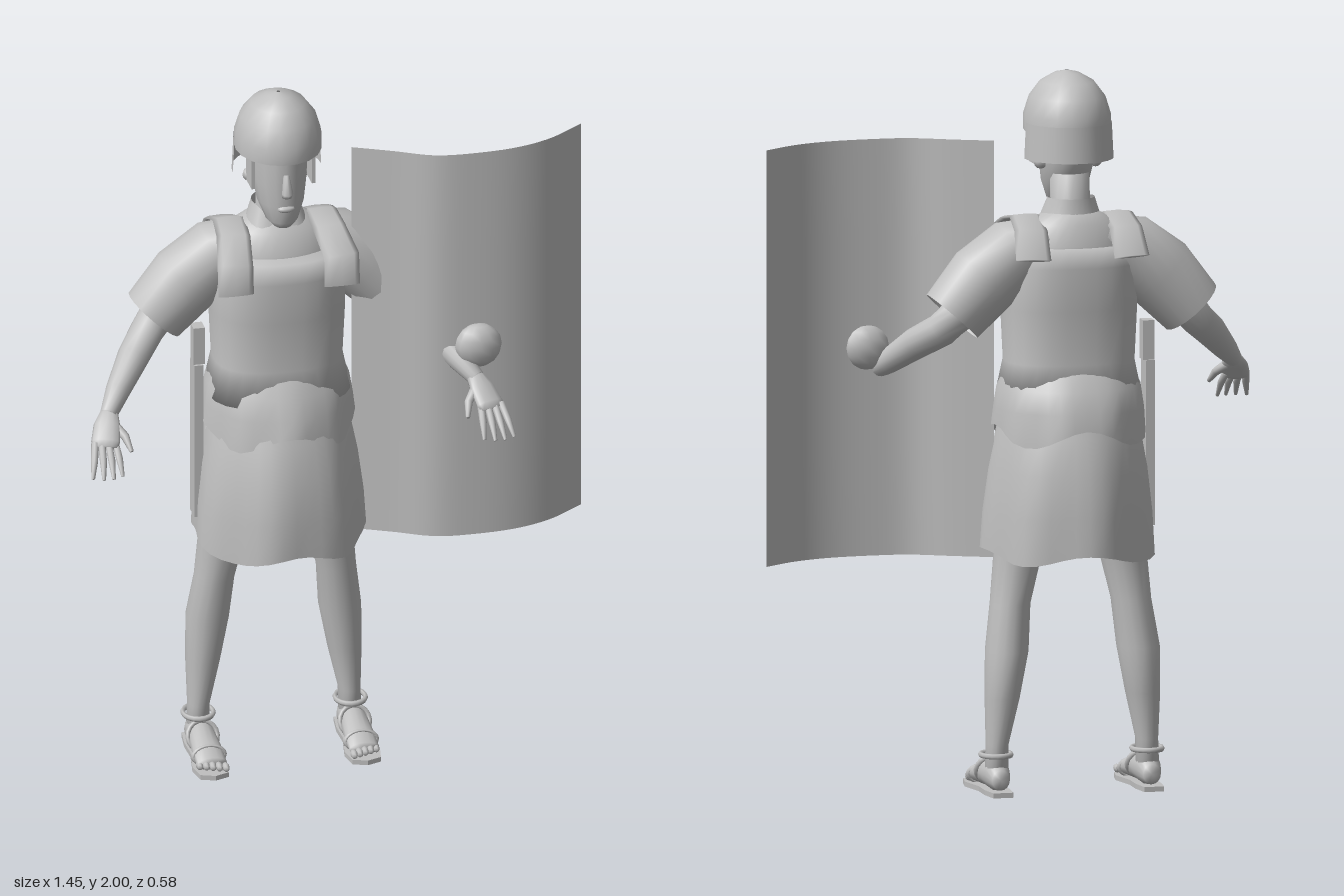
import * as THREE from 'three';

const grey = new THREE.MeshStandardMaterial({ color: 0xbfbfbf, side: THREE.DoubleSide });
grey.name = 'plain grey';
const AXIS = { x: new THREE.Vector3(1, 0, 0), y: new THREE.Vector3(0, 1, 0), z: new THREE.Vector3(0, 0, 1) };

// Skin through elliptical rings [x, y, z, a, b]; b lies along ref, a across it.
function sweep(pts, { ref = AXIS.z, dir = null, seg = 16, caps = true, wave = null } = {}) {
  const pos = [], idx = [], n = pts.length;
  const c = pts.map(p => new THREE.Vector3(p[0], p[1], p[2]));
  c.forEach((p, i) => {
    const t = dir || c[Math.min(i + 1, n - 1)].clone().sub(c[Math.max(i - 1, 0)]).normalize();
    const v = ref.clone().addScaledVector(t, -ref.dot(t)).normalize();
    const u = v.clone().cross(t);
    for (let j = 0; j < seg; j++) {
      const g = j / seg * Math.PI * 2;
      const [k, lift] = wave ? wave(g, i) : [1, 0];
      const q = p.clone().addScaledVector(u, Math.cos(g) * pts[i][3] * k)
        .addScaledVector(v, Math.sin(g) * (pts[i][4] ?? pts[i][3]) * k);
      pos.push(q.x, q.y + lift, q.z);
      if (i < n - 1) {
        const a = i * seg + j, b = i * seg + (j + 1) % seg;
        idx.push(a, b, b + seg, a, b + seg, a + seg);
      }
    }
  });
  if (caps) {
    pos.push(...c[0].toArray(), ...c[n - 1].toArray());
    const e = n * seg, last = (n - 1) * seg;
    for (let j = 0; j < seg; j++) {
      const k = (j + 1) % seg;
      idx.push(e, k, j, e + 1, last + j, last + k);
    }
  }
  const geo = new THREE.BufferGeometry();
  geo.setAttribute('position', new THREE.Float32BufferAttribute(pos, 3));
  geo.setIndex(idx);
  geo.computeVertexNormals();
  return geo;
}

function add(parent, name, geo, x = 0, y = 0, z = 0) {
  const m = new THREE.Mesh(geo, grey);
  m.name = name;
  m.position.set(x, y, z);
  parent.add(m);
  return m;
}

function makeHead(body) {
  const up = { dir: AXIS.y };
  add(body, 'neck', sweep([[0, 1.5, -0.09, 0.07, 0.06], [0, 1.6, -0.08, 0.055, 0.055], [0, 1.72, -0.06, 0.055, 0.06]], up));
  add(body, 'face', sweep([
    [0, 1.62, 0.015, 0.025, 0.03], [0, 1.64, 0.005, 0.045, 0.055], [0, 1.69, -0.015, 0.065, 0.08],
    [0, 1.75, -0.03, 0.075, 0.095], [0, 1.82, -0.035, 0.08, 0.1], [0, 1.88, -0.04, 0.08, 0.1]], up));
  add(body, 'nose', sweep([[0, 1.79, 0.06, 0.008, 0.01], [0, 1.74, 0.078, 0.016, 0.018], [0, 1.725, 0.07, 0.014, 0.012]], { dir: AXIS.y.clone().negate(), seg: 8 }));
  add(body, 'mouth', new THREE.SphereGeometry(1, 10, 6), 0, 1.685, 0.06).scale.set(0.025, 0.01, 0.012);
  // Helmet: dome, brim, neck guard and cheek plates
  add(body, 'helmetDome', sweep([
    [0, 1.835, -0.04, 0.12, 0.138], [0, 1.88, -0.04, 0.12, 0.138], [0, 1.93, -0.04, 0.105, 0.118],
    [0, 1.97, -0.038, 0.075, 0.085], [0, 1.993, -0.035, 0.035, 0.04], [0, 2, -0.035, 0.005, 0.005]], { ...up, caps: false, seg: 18 }));
  const guard = add(body, 'neckGuard', new THREE.CylinderGeometry(1, 1.04, 0.1, 16, 1, true, Math.PI / 2, Math.PI), 0, 1.81, -0.05);
  guard.scale.set(0.12, 1, 0.13);
  for (const s of [-1, 1]) {
    add(body, 'cheekPlate', new THREE.BoxGeometry(0.01, 0.1, 0.065), s * 0.085, 1.79, -0.005);
    add(body, 'ear', new THREE.SphereGeometry(0.02, 8, 6), s * 0.078, 1.75, -0.05);
  }
}

function makeTorso(body) {
  const up = { dir: AXIS.y, seg: 28 };
  // Squarish cuirass section
  const boxy = g => [Math.pow(Math.pow(Math.abs(Math.cos(g)), 2.6) + Math.pow(Math.abs(Math.sin(g)), 2.6), -1 / 2.6), 0];
  add(body, 'cuirass', sweep([
    [0, 1.1, -0.055, 0.2, 0.16], [0, 1.2, -0.055, 0.18, 0.14], [0, 1.35, -0.055, 0.187, 0.147],
    [0, 1.47, -0.055, 0.185, 0.152], [0, 1.525, -0.055, 0.165, 0.14]], { ...up, wave: boxy }));
  add(body, 'tunicShoulders', sweep([
    [0, 1.45, -0.075, 0.17, 0.125], [0, 1.53, -0.075, 0.165, 0.115], [0, 1.585, -0.08, 0.13, 0.085], [0, 1.62, -0.085, 0.065, 0.06]], up));
  add(body, 'collar', sweep([[0, 1.55, -0.065, 0.105, 0.1], [0, 1.6, -0.07, 0.085, 0.08], [0, 1.655, -0.08, 0.065, 0.065]],
    { ...up, caps: false, wave: g => [1, -0.05 * Math.pow(Math.max(0, Math.sin(g)), 4)] }));
  // Flared hip apron and pleated skirt
  add(body, 'hipApron', sweep([
    [0, 1.18, -0.055, 0.178, 0.142], [0, 1.13, -0.06, 0.2, 0.175], [0, 1.07, -0.06, 0.208, 0.198], [0, 1.0, -0.058, 0.212, 0.208]],
    { dir: AXIS.y.clone().negate(), seg: 36, caps: false, wave: (g, i) => [1 + 0.008 * i * Math.sin(g * 9), i === 3 ? 0.025 * Math.cos(g * 4) : 0] }));
  add(body, 'skirt', sweep([
    [0, 1.08, -0.05, 0.18, 0.17], [0, 1.0, -0.05, 0.2, 0.2], [0, 0.9, -0.047, 0.218, 0.228], [0, 0.78, -0.045, 0.232, 0.238], [0, 0.665, -0.045, 0.237, 0.24]],
    { dir: AXIS.y.clone().negate(), seg: 40, caps: false, wave: (g, i) => [1 + 0.009 * i * Math.sin(g * 7 + 1), i === 4 ? 0.015 * Math.cos(g * 4) : 0] }));
  // Sword hanging at the right hip
  const sword = new THREE.Group();
  sword.name = 'sword';
  body.add(sword);
  add(sword, 'swordGrip', new THREE.BoxGeometry(0.032, 0.11, 0.04), -0.222, 1.245, -0.06);
  add(sword, 'scabbard', new THREE.BoxGeometry(0.025, 0.46, 0.055), -0.225, 0.96, -0.06);
}

function makeArm(body, s) {
  const side = new THREE.Group();
  side.name = s < 0 ? 'rightArm' : 'leftArm';
  body.add(side);
  add(side, 'shoulderStrap', sweep([
    [s * 0.15, 1.455, 0.098, 0.007, 0.05], [s * 0.15, 1.54, 0.088, 0.007, 0.05], [s * 0.135, 1.59, 0.0, 0.007, 0.047],
    [s * 0.13, 1.605, -0.08, 0.007, 0.045], [s * 0.135, 1.575, -0.16, 0.007, 0.047], [s * 0.14, 1.5, -0.208, 0.007, 0.05]],
    { ref: AXIS.x, seg: 8 }));
  add(side, 'sleeve', sweep([
    [s * 0.08, 1.545, -0.085, 0.06, 0.08], [s * 0.16, 1.51, -0.085, 0.095, 0.092], [s * 0.25, 1.435, -0.085, 0.105, 0.094],
    [s * 0.34, 1.335, -0.085, 0.092, 0.09]], { caps: false, seg: 18 }));
  add(side, 'arm', sweep([
    [s * 0.22, 1.46, -0.085, 0.055], [s * 0.32, 1.345, -0.09, 0.052], [s * 0.365, 1.295, -0.065, 0.047],
    [s * 0.42, 1.25, 0.0, 0.044], [s * 0.48, 1.19, 0.075, 0.034], [s * 0.52, 1.15, 0.135, 0.024]], { ref: AXIS.y, seg: 14 }));
  add(side, 'palm', sweep([
    [s * 0.515, 1.155, 0.125, 0.024, 0.02], [s * 0.53, 1.13, 0.16, 0.037, 0.018], [s * 0.543, 1.1, 0.2, 0.04, 0.016], [s * 0.547, 1.088, 0.213, 0.035, 0.012]],
    { ref: AXIS.y, seg: 12 }));
  // Four spread fingers and a thumb
  for (let i = 0; i < 4; i++) {
    const k = i - 1.5, reach = i === 0 || i === 3 ? 0.85 : 1;
    const x = 0.545 + k * 0.019, x2 = x + k * 0.009 + 0.008;
    add(side, 'finger', sweep([
      [s * x, 1.098, 0.2, 0.01], [s * (x + x2) / 2, 1.065, 0.2 + 0.05 * reach, 0.01], [s * x2, 1.025, 0.2 + 0.085 * reach, 0.005]], { ref: AXIS.y, seg: 8 }));
  }
  add(side, 'thumb', sweep([[s * 0.515, 1.135, 0.155, 0.014], [s * 0.485, 1.105, 0.19, 0.012], [s * 0.475, 1.075, 0.225, 0.006]], { ref: AXIS.y, seg: 8 }));
}

function makeLeg(body, s) {
  const side = new THREE.Group();
  side.name = s < 0 ? 'rightLeg' : 'leftLeg';
  body.add(side);
  add(side, 'leg', sweep([
    [s * 0.215, 0.06, -0.09, 0.032, 0.04], [s * 0.213, 0.14, -0.09, 0.031, 0.04], [s * 0.2, 0.27, -0.095, 0.048, 0.056], [s * 0.187, 0.4, -0.095, 0.06, 0.066],
    [s * 0.172, 0.53, -0.075, 0.056, 0.062], [s * 0.15, 0.66, -0.07, 0.066, 0.075], [s * 0.125, 0.85, -0.06, 0.085, 0.095], [s * 0.11, 1.0, -0.055, 0.09, 0.1]],
    { dir: AXIS.y }));
  add(side, 'foot', sweep([
    [s * 0.215, 0.045, -0.14, 0.025, 0.028], [s * 0.215, 0.055, -0.1, 0.036, 0.044], [s * 0.215, 0.055, -0.04, 0.038, 0.04],
    [s * 0.215, 0.042, 0.03, 0.043, 0.028], [s * 0.215, 0.03, 0.085, 0.042, 0.018]], { ref: AXIS.y, dir: AXIS.z }));
  // Sandal sole with ankle and instep straps
  const outline = new THREE.Shape([[-0.028, -0.165], [0.028, -0.165], [0.036, -0.1], [0.034, -0.03], [0.05, 0.06], [0.04, 0.115],
    [0, 0.13], [-0.04, 0.115], [-0.05, 0.06], [-0.034, -0.03], [-0.036, -0.1]].map(p => new THREE.Vector2(...p)));
  const sole = new THREE.ExtrudeGeometry(outline, { depth: 0.014, bevelEnabled: false }).rotateX(Math.PI / 2);
  sole.scale(1, 1, 1);
  add(side, 'sandalSole', sole, s * 0.215, 0.014, 0);
  const ring = (name, y, z, rx, rz, tilt) => {
    const m = add(side, name, new THREE.TorusGeometry(1, 0.16, 6, 18), s * 0.215, y, z);
    m.scale.set(rx, rz, 0.05);
    m.rotation.x = tilt;
  };
  ring('ankleStrap', 0.11, -0.085, 0.042, 0.048, Math.PI / 2);
  ring('instepStrap', 0.062, -0.03, 0.042, 0.042, -0.5);
  ring('toeStrap', 0.038, 0.045, 0.044, 0.027, -0.2);
  for (let i = 0; i < 5; i++) {
    add(side, 'toe', new THREE.SphereGeometry(1, 8, 6), s * (0.181 + i * 0.017), 0.026, 0.105 - i * 0.007)
      .scale.set(0.01, 0.012, 0.021);
  }
}

function makeShield(root) {
  const shield = new THREE.Group();
  shield.name = 'shield';
  root.add(shield);
  // Tall sheet bowed along a curve seen from above
  const bow = new THREE.CatmullRomCurve3([[0.075, -0.03], [0.18, 0.02], [0.29, 0.075], [0.4, 0.085], [0.52, 0.075], [0.62, 0.04], [0.725, -0.033]]
    .map(([x, z]) => new THREE.Vector3(x, 0, z)));
  const sheet = new THREE.PlaneGeometry(1, 1.16, 28, 4);
  const p = sheet.attributes.position;
  for (let i = 0; i < p.count; i++) {
    const q = bow.getPoint(p.getX(i) + 0.5);
    p.setXYZ(i, q.x, p.getY(i) + 1.23, q.z);
  }
  sheet.computeVertexNormals();
  add(shield, 'shieldBoard', sheet);
  add(shield, 'shieldBoss', new THREE.SphereGeometry(1, 12, 8), 0.405, 1.23, 0.095).scale.set(0.066, 0.064, 0.042);
}

export function createModel() {
  const root = new THREE.Group();
  root.name = 'shieldBearer';
  const body = new THREE.Group();
  body.name = 'body';
  body.position.x = -0.13;
  root.add(body);
  makeHead(body);
  makeTorso(body);
  for (const s of [-1, 1]) {
    makeArm(body, s);
    makeLeg(body, s);
  }
  makeShield(root);
  return root;
}
